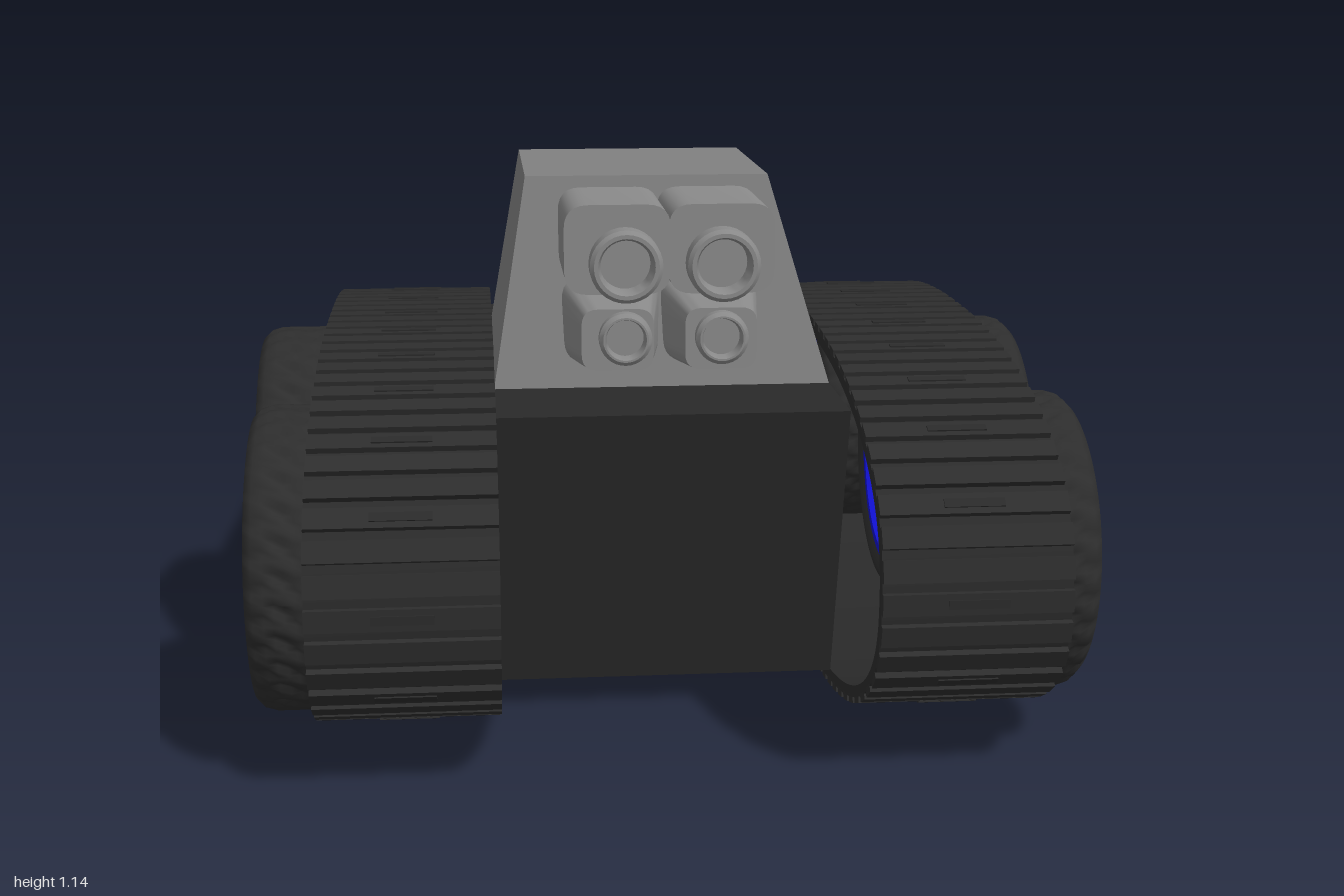
import * as THREE from 'three';
import { mergeGeometries, toCreasedNormals } from 'three/addons/utils/BufferGeometryUtils.js';

const paint = (color, extra = {}) => new THREE.MeshStandardMaterial({ color, ...extra });
const DARK = paint(0x2a2a2a, { side: THREE.DoubleSide });
const RUBBER = paint(0x2d2d2d, { side: THREE.DoubleSide });
const BLUE = paint(0x1010cc, { side: THREE.DoubleSide });
const GREY = paint(0x808080);
const GUN = paint(0x8a8a8a, { side: THREE.DoubleSide });

function add(parent, name, geometry, material, x = 0, y = 0, z = 0) {
  const mesh = new THREE.Mesh(geometry, material);
  mesh.name = name;
  mesh.position.set(x, y, z);
  parent.add(mesh);
  return mesh;
}

// Box whose bottom and top rectangles differ: [x0, x1, z0, z1]
function frustum(bottom, top, y0, y1) {
  const g = new THREE.BoxGeometry(1, 1, 1);
  const p = g.attributes.position;
  for (let i = 0; i < p.count; i++) {
    const up = p.getY(i) > 0;
    const r = up ? top : bottom;
    p.setXYZ(i, r[p.getX(i) > 0 ? 1 : 0], up ? y1 : y0, r[p.getZ(i) > 0 ? 3 : 2]);
  }
  g.computeVertexNormals();
  return g;
}

// Lathe from [radius, height] pairs, turned so its axis lies along +x
const lathe = (pairs, segments) =>
  new THREE.LatheGeometry(pairs.map(([r, h]) => new THREE.Vector2(r, h)), segments).rotateZ(-Math.PI / 2);

// Tyre of radius 1 with zigzag grooves cut into the tread
function tyreGeometry() {
  const side = [[0.78, 0.4], [0.86, 0.45], [0.93, 0.44], [0.98, 0.39]];
  const pairs = side.map(([r, h]) => [r, -h]);
  for (let i = 0; i <= 10; i++) pairs.push([1, -0.32 + i * 0.064]);
  pairs.push(...[...side].reverse());
  const g = lathe(pairs, 180);
  const p = g.attributes.position;
  for (let i = 0; i < p.count; i++) {
    const x = p.getX(i), y = p.getY(i), z = p.getZ(i);
    if (Math.hypot(y, z) < 0.95) continue;
    const zigzag = Math.abs(((x * 4 + 8) % 1) - 0.5) * 1.2;
    const phase = (Math.atan2(z, y) / (2 * Math.PI) + 1) * 30 + zigzag + 0.02;
    if (phase % 1 < 0.3) p.setXYZ(i, x, y * 0.972, z * 0.972);
  }
  g.computeVertexNormals();
  return g;
}

// Brake disc with a ring of radial slots
function discGeometry() {
  const shape = new THREE.Shape().absarc(0, 0, 0.6, 0, Math.PI * 2);
  for (let i = 0; i < 24; i++) {
    const a = (i / 24) * Math.PI * 2, d = 0.045;
    const hole = new THREE.Path();
    [[0.43, -d], [0.43, d], [0.55, d], [0.55, -d]].forEach(([r, t], k) =>
      hole[k ? 'lineTo' : 'moveTo'](r * Math.cos(a + t), r * Math.sin(a + t)));
    hole.closePath();
    shape.holes.push(hole);
  }
  return new THREE.ExtrudeGeometry(shape, { depth: 0.06, bevelEnabled: false, curveSegments: 32 })
    .rotateY(Math.PI / 2).translate(-0.12, 0, 0);
}

// Five bars pointing out from the hub; offsets shift copies sideways
function spokes(depth, width, offsets, x) {
  const bars = [];
  for (let i = 0; i < 5; i++) {
    for (const o of offsets) {
      bars.push(new THREE.BoxGeometry(depth, width, 0.6).translate(x, o, -0.47).rotateX((i / 5) * Math.PI * 2));
    }
  }
  return mergeGeometries(bars);
}

// Wheel of radius 1 whose outer face looks along +x
function makeWheel() {
  const wheel = new THREE.Group();
  add(wheel, 'tyre', tyreGeometry(), RUBBER);
  const barrel = lathe([[0.81, -0.42], [0.81, 0.42], [0.75, 0.42], [0.75, -0.42], [0.81, -0.42]], 48);
  add(wheel, 'rim', toCreasedNormals(barrel, 0.6), BLUE);
  add(wheel, 'spokeEdges', spokes(0.16, 0.04, [-0.055, 0.055], 0.28), BLUE);
  add(wheel, 'spokeCores', spokes(0.1, 0.07, [0], 0.28), DARK);
  add(wheel, 'brakeDisc', discGeometry(), DARK);
  const hub = lathe([[0, -0.2], [0.22, -0.2], [0.22, 0.36], [0.19, 0.4], [0.14, 0.4], [0.14, 0.36], [0, 0.36]], 28);
  add(wheel, 'hub', toCreasedNormals(hub, 0.5), DARK);
  return wheel;
}

// Flattened oval in the (z, y) plane
function oval(a, b, n = 120) {
  const bend = (v) => Math.sign(v) * Math.pow(Math.abs(v), 2 / 2.4);
  return Array.from({ length: n }, (_, i) => {
    const t = (i / n) * Math.PI * 2;
    return new THREE.Vector2(a * bend(Math.cos(t)), b * bend(Math.sin(t)));
  });
}

// Track belt with cross pads and small centre dashes
function makeTrack(width) {
  const track = new THREE.Group();
  const shape = new THREE.Shape(oval(0.985, 0.385));
  shape.holes.push(new THREE.Path(oval(0.96, 0.36)));
  const belt = new THREE.ExtrudeGeometry(shape, { depth: width, bevelEnabled: false })
    .translate(0, 0, -width / 2).rotateY(-Math.PI / 2);
  add(track, 'trackBelt', toCreasedNormals(belt, 0.5), DARK);

  const path = new THREE.CatmullRomCurve3(oval(0.988, 0.388).map((p) => new THREE.Vector3(0, p.y, p.x)), true);
  const pads = [], dashes = [], count = 72;
  for (let i = 0; i < count; i++) {
    const at = path.getPointAt(i / count), dir = path.getTangentAt(i / count);
    const place = (g) => g.rotateX(Math.atan2(-dir.y, dir.z)).translate(at.x, at.y, at.z);
    pads.push(place(new THREE.BoxGeometry(width, 0.018, 0.044)));
    if (i % 3 === 0) dashes.push(place(new THREE.BoxGeometry(0.12, 0.024, 0.018)));
  }
  add(track, 'trackPads', mergeGeometries(pads), RUBBER);
  add(track, 'trackDashes', mergeGeometries(dashes), DARK);
  return track;
}

// Eight-sided gun housing along +z, its front end scaled
function housingGeometry(w, h, depth, frontScale) {
  const c = 0.05, x = w / 2, y = h / 2;
  const shape = new THREE.Shape();
  shape.moveTo(-x + c, -y).lineTo(x - c, -y);
  shape.quadraticCurveTo(x, -y, x, -y + c).lineTo(x, y - c);
  shape.quadraticCurveTo(x, y, x - c, y).lineTo(-x + c, y);
  shape.quadraticCurveTo(-x, y, -x, y - c).lineTo(-x, -y + c);
  shape.quadraticCurveTo(-x, -y, -x + c, -y);
  const g = new THREE.ExtrudeGeometry(shape, { depth, bevelEnabled: false, curveSegments: 6 });
  const p = g.attributes.position;
  for (let i = 0; i < p.count; i++) {
    if (p.getZ(i) > depth / 2) p.setXY(i, p.getX(i) * frontScale, p.getY(i) * frontScale);
  }
  return toCreasedNormals(g, 0.6);
}

// Hollow muzzle along +z
function muzzleGeometry(r, length) {
  const g = lathe([[r, 0], [r, length - 0.008], [r - 0.008, length], [r * 0.78, length],
    [r * 0.7, length - 0.02], [r * 0.7, length - 0.09], [0, length - 0.09]], 32);
  return toCreasedNormals(g.rotateY(-Math.PI / 2), 0.5);
}

export function createModel() {
  const model = new THREE.Group();
  model.name = 'wheeledTank';

  // Hull and turret
  add(model, 'hull', frustum([-0.35, 0.38, -0.46, 0.46], [-0.35, 0.38, -0.63, 0.625], 0.065, 0.695), DARK);
  add(model, 'turret', frustum([-0.35, 0.38, -0.375, 0.365], [-0.275, 0.255, -0.28, 0.25], 0.695, 1.14), GREY);

  // Twin gun clusters: a large barrel over a small one
  for (const [lobeX, gunX] of [[-0.095, -0.08], [0.12, 0.12]]) {
    add(model, 'upperGunHousing', housingGeometry(0.22, 0.185, 0.29, 1), GUN, lobeX, 1.023, 0.25);
    add(model, 'lowerGunHousing', housingGeometry(0.22, 0.19, 0.26, 0.68), GUN, lobeX, 0.835, 0.28);
    add(model, 'upperMuzzle', muzzleGeometry(0.075, 0.295), GUN, gunX, 0.995, 0.3);
    add(model, 'lowerMuzzle', muzzleGeometry(0.055, 0.27), GUN, gunX, 0.84, 0.3);
  }

  // Two grab handles on the turret back
  for (const [y, z] of [[1.04, -0.298], [0.985, -0.31]]) {
    const bar = [[-0.07, 0], [-0.065, -0.022], [-0.05, -0.026], [0.08, -0.026], [0.095, -0.022], [0.1, 0]];
    const path = new THREE.CatmullRomCurve3(bar.map(([x, dz]) => new THREE.Vector3(x, y, z + dz)), false, 'centripetal');
    add(model, 'turretHandle', new THREE.TubeGeometry(path, 30, 0.009, 8), GREY);
  }

  // Tracks
  for (const [name, x, width] of [['leftTrack', 0.5675, 0.375], ['rightTrack', -0.535, 0.37]]) {
    const track = makeTrack(width);
    track.name = name;
    track.position.set(x, 0.4, 0);
    model.add(track);
  }

  // Three wheels per side: outer x, centre y, centre z, radius
  const wheel = makeWheel();
  const layout = { front: [0.843, 0.405, 0.6, 0.313], middle: [0.88, 0.425, -0.03, 0.33], rear: [0.768, 0.39, -0.65, 0.29] };
  for (const side of [1, -1]) {
    for (const [name, [x, y, z, r]] of Object.entries(layout)) {
      const w = wheel.clone();
      w.name = name + (side > 0 ? 'LeftWheel' : 'RightWheel');
      w.scale.set(side * r, r, r);
      w.position.set(side * (x - 0.45 * r), y, z);
      model.add(w);
    }
  }
  return model;
}
